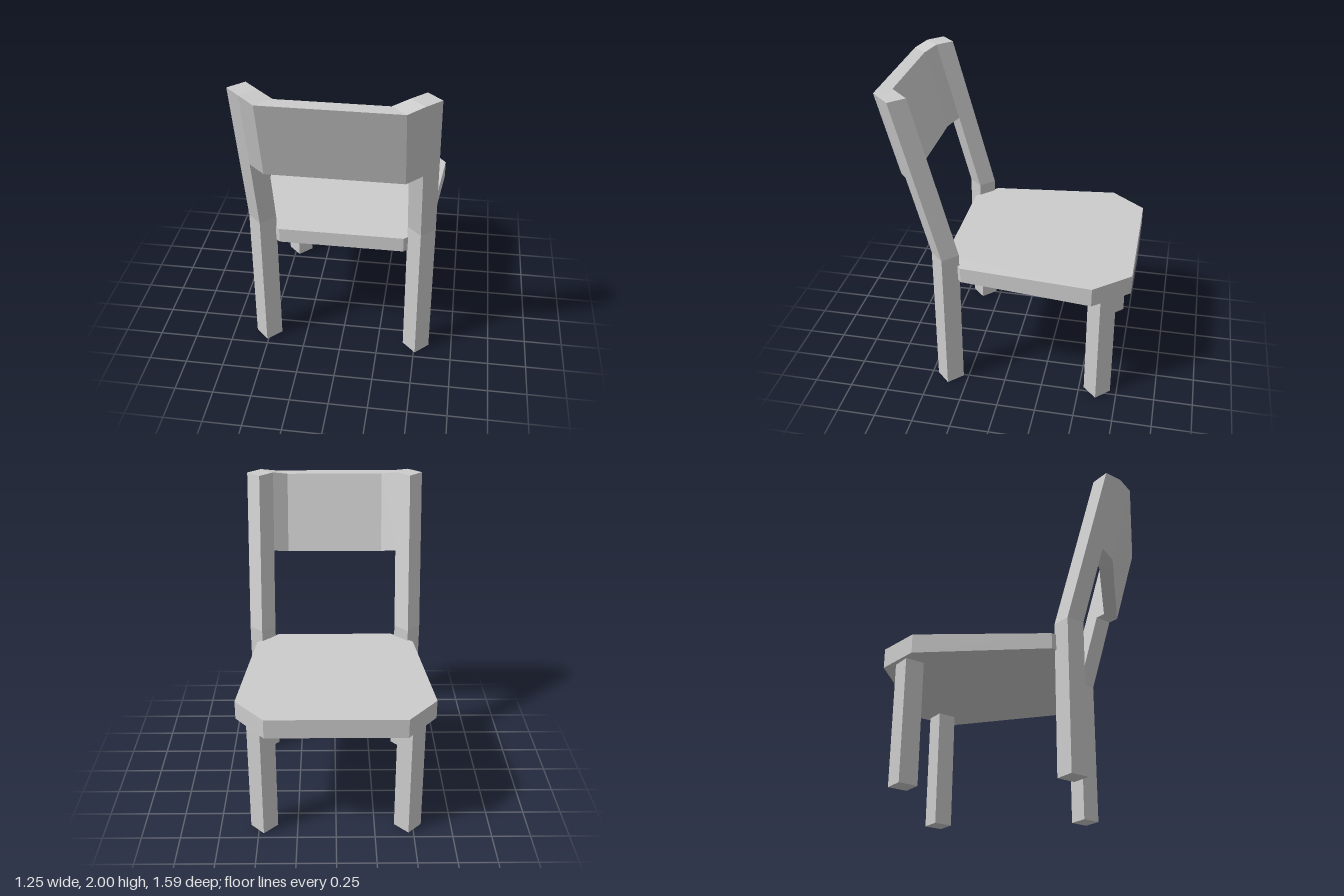
import * as THREE from 'three';

// Skin a row of matching cross-section loops with flat quads, optionally closing both ends.
// Each loop runs counter-clockwise about the direction in which the sections advance.
function loft(sections, capped = true) {
  const pos = [];
  const tri = (a, b, c) => pos.push(...a, ...b, ...c);
  const n = sections[0].length;
  for (let s = 0; s < sections.length - 1; s++) {
    const a = sections[s], b = sections[s + 1];
    for (let i = 0; i < n; i++) {
      const j = (i + 1) % n;
      tri(a[i], a[j], b[j]);
      tri(a[i], b[j], b[i]);
    }
  }
  if (capped) {
    const first = sections[0], last = sections[sections.length - 1];
    for (let i = 1; i < n - 1; i++) {
      tri(first[0], first[i + 1], first[i]);
      tri(last[0], last[i], last[i + 1]);
    }
  }
  const geometry = new THREE.BufferGeometry();
  geometry.setAttribute('position', new THREE.Float32BufferAttribute(pos, 3));
  geometry.computeVertexNormals();
  return geometry;
}

// Square leg section turned by 45 degrees
const R = 0.088;
const diamond = (x, y, z) => [[x, y, z + R], [x + R, y, z], [x, y, z - R], [x - R, y, z]];

export function createModel() {
  const chair = new THREE.Group();
  chair.name = 'chair';
  const grey = new THREE.MeshStandardMaterial({ color: 0xcccccc, flatShading: true });
  grey.name = 'plain grey';
  const add = (name, geometry) => {
    const mesh = new THREE.Mesh(geometry, grey);
    mesh.name = name;
    chair.add(mesh);
  };

  // Legs: the rear posts bend and lean back above the seat
  const BEND = 0.97, LEAN = 0.275 / 1.03;
  for (const [side, s] of [['left', 1], ['right', -1]]) {
    add(side + 'FrontLeg', loft([diamond(s * 0.467, 0, -0.62), diamond(s * 0.467, 0.8, -0.62)]));
    add(side + 'RearPost', loft([
      diamond(s * 0.509, 0, 0.372),
      diamond(s * 0.509, BEND, 0.372),
      diamond(s * 0.509, 2, 0.372 + 0.275),
    ]));
  }

  // Seat: clipped-corner outline [x, z, bottom, top], slightly thinner towards the backrest
  const half = [
    [0.40, 0.40, 0.795, 0.894],
    [0.545, 0.27, 0.794, 0.895],
    [0.624, -0.57, 0.782, 0.904],
    [0.435, -0.795, 0.78, 0.906],
  ];
  const outline = [...half, ...half.map(([x, z, b, t]) => [-x, z, b, t]).reverse()];
  add('seat', loft([
    outline.map(([x, z, b]) => [x, b, z]),
    outline.map(([x, z, , t]) => [x, t, z]),
  ]));

  // Backrest: centre panel with angled wings that meet the posts
  const panelSection = (xIn, zIn, xOut, zOut, top) => {
    const bottom = top - 0.515, drop = 0.515 * LEAN;
    return [
      [xIn, bottom, zIn - drop], [xIn, top, zIn],
      [xOut, top, zOut], [xOut, bottom, zOut - drop],
    ];
  };
  add('backrest', loft([
    panelSection(-0.421, 0.647, -0.509, 0.735, 2),
    panelSection(-0.325, 0.703, -0.415, 0.793, 1.975),
    panelSection(0.325, 0.703, 0.415, 0.793, 1.975),
    panelSection(0.421, 0.647, 0.509, 0.735, 2),
  ], false));

  return chair;
}
